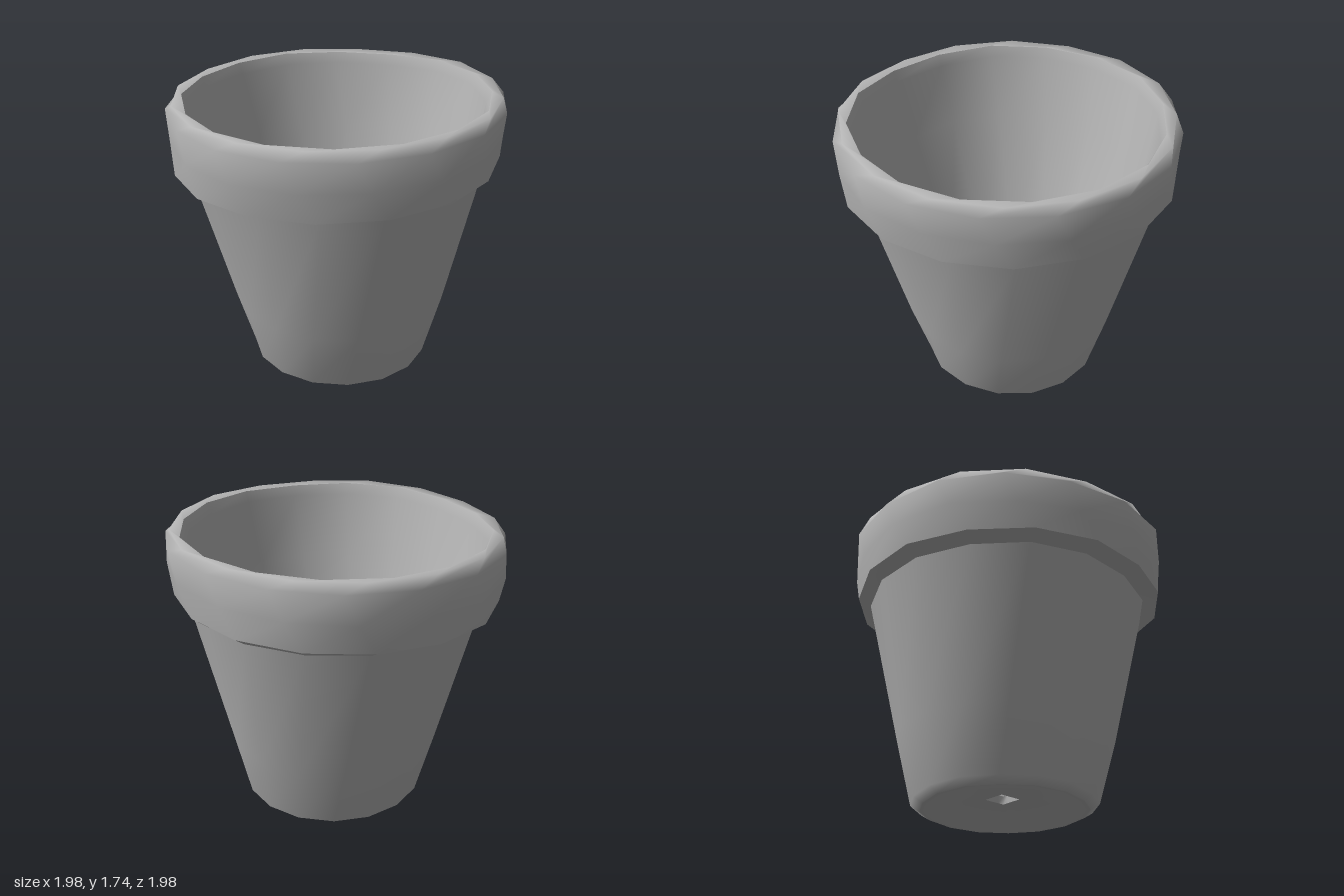
import * as THREE from 'three';

const SIDES = 16;

// One ring of points: radius, height, centre, twist, lean towards +x, unevenness
function ringPoints({ r, y, cx = 0, cz = 0, twist = 0, lean = 0, wobble = 0, diamond = false }) {
  const points = [];
  for (let j = 0; j < SIDES; j++) {
    const a = (j / SIDES) * Math.PI * 2 + twist;
    const w = Math.sin(3 * a + 5 * y) + Math.sin(5 * a - 9 * y);
    let rad = r * (1 + wobble * w);
    if (diamond) rad /= Math.abs(Math.sin(a)) + Math.abs(Math.cos(a));
    const x = cx + rad * Math.sin(a);
    points.push(x, y + lean * x + wobble * 0.4 * w, cz + rad * Math.cos(a));
  }
  return points;
}

// Smooth skin through a list of rings
function skin(name, rings, material) {
  const geometry = new THREE.BufferGeometry();
  const index = [];
  for (let i = 0; i < rings.length - 1; i++) {
    for (let j = 0; j < SIDES; j++) {
      const k = (j + 1) % SIDES;
      const a = i * SIDES + j, b = i * SIDES + k;
      index.push(a, b, b + SIDES, a, b + SIDES, a + SIDES);
    }
  }
  geometry.setAttribute('position', new THREE.Float32BufferAttribute(rings.flatMap(ringPoints), 3));
  geometry.setIndex(index);
  geometry.computeVertexNormals();
  const mesh = new THREE.Mesh(geometry, material);
  mesh.name = name;
  return mesh;
}

export function createModel() {
  const pot = new THREE.Group();
  pot.name = 'flowerPot';
  const clay = new THREE.MeshStandardMaterial({ color: 0xb4b4b4, side: THREE.DoubleSide });
  clay.name = 'greyClay';

  // Rings shared by neighbouring parts
  const holeUnder = { r: 0.1, y: 0.08, cx: 0.05, cz: -0.035, diamond: true };
  const holeTop = { ...holeUnder, y: 0.13 };
  const foot = { r: 0.5, y: 0.005, cx: 0.025, cz: -0.02, wobble: 0.006 };
  const neck = { r: 0.87, y: 1.29, cx: 0.01, cz: -0.01, twist: 0.2, lean: 0.015, wobble: 0.006 };
  const lip = { r: 0.9, y: 1.715, cx: 0, cz: 0, twist: 0.3, lean: 0.015, wobble: 0.008 };
  const floorEdge = { r: 0.49, y: 0.15, cx: 0.02, cz: 0, twist: 0.12, wobble: 0.012 };

  // Hollowed underside around the drain hole
  pot.add(skin('underside', [
    holeUnder,
    { r: 0.36, y: 0.06, cx: 0.025, cz: -0.02, wobble: 0.015 },
    { r: 0.43, y: 0.008, cx: 0.025, cz: -0.02, wobble: 0.006 },
    foot,
  ], clay));

  // Tapered, slightly twisted outer wall
  pot.add(skin('outerWall', [
    foot,
    { r: 0.555, y: 0.04, cx: 0.025, cz: -0.02, wobble: 0.006 },
    { r: 0.655, y: 0.42, cx: 0.02, cz: -0.015, twist: 0.08, wobble: 0.008 },
    neck,
  ], clay));

  // Underside of the rim, then the uneven rim band rolling over the lip
  const rimBase = { r: 0.96, y: 1.335, twist: 0.2, lean: 0.03, wobble: 0.008 };
  pot.add(skin('rimUnderside', [neck, rimBase], clay));
  pot.add(skin('rim', [
    rimBase,
    { r: 0.978, y: 1.5, twist: 0.1, lean: 0.025, wobble: 0.008 },
    { r: 0.988, y: 1.67, twist: 0.02, lean: 0.02, wobble: 0.006 },
    { r: 0.955, y: 1.722, twist: 0.15, lean: 0.015, wobble: 0.006 },
    lip,
  ], clay));

  // Inside wall, floor and drain hole
  pot.add(skin('insideWall', [
    lip,
    { r: 0.872, y: 1.65, twist: 0.3, lean: 0.015, wobble: 0.008 },
    { r: 0.79, y: 1.25, cx: 0.01, twist: 0.25, wobble: 0.008 },
    { r: 0.56, y: 0.4, cx: 0.02, twist: 0.15, wobble: 0.01 },
    floorEdge,
  ], clay));
  pot.add(skin('floor', [
    floorEdge,
    { r: 0.28, y: 0.14, cx: 0.03, cz: -0.02, twist: 0.06, wobble: 0.03 },
    holeTop,
  ], clay));
  pot.add(skin('drainHole', [holeTop, holeUnder], clay));

  return pot;
}
